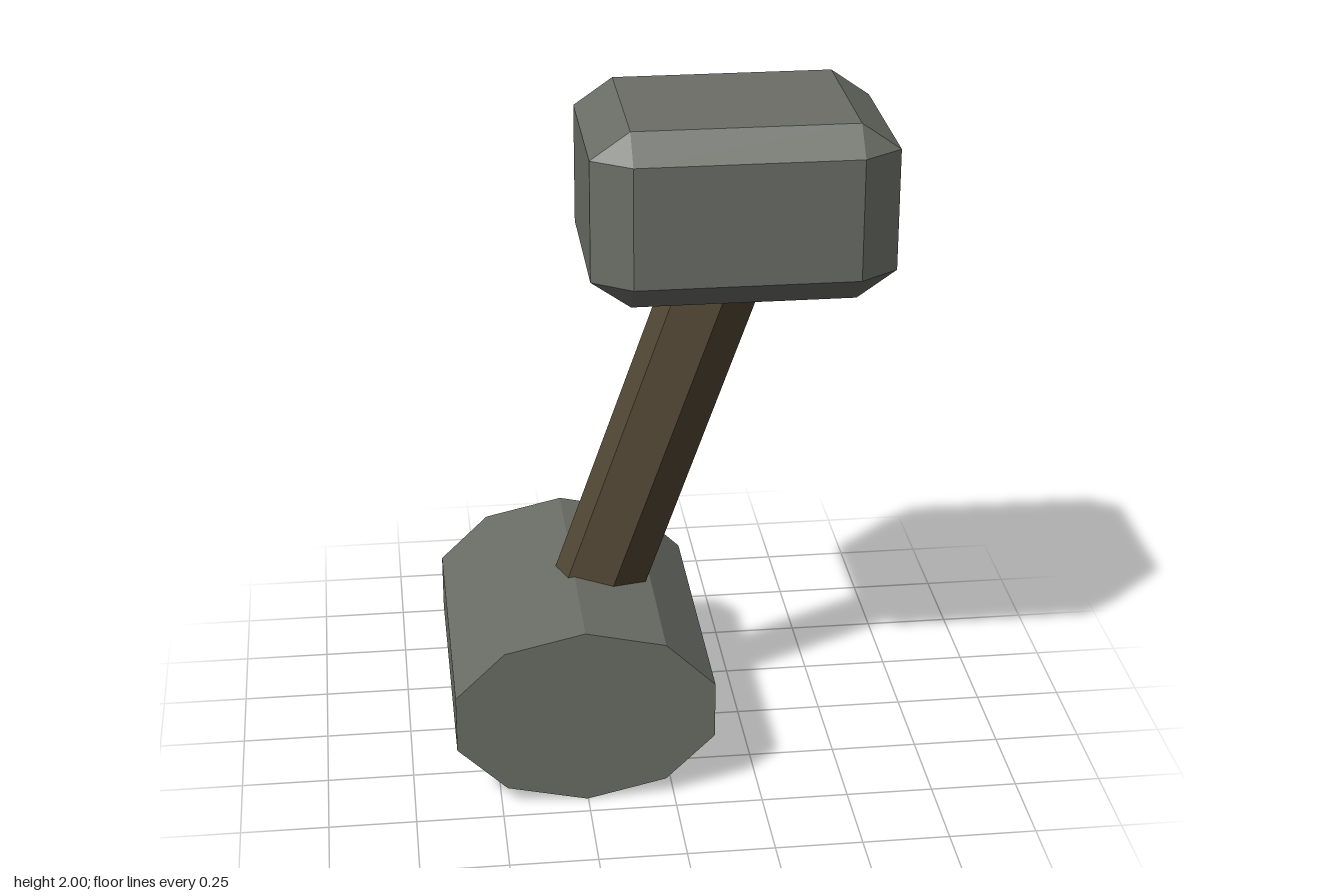
import * as THREE from 'three';
import { ConvexGeometry } from 'three/addons/geometries/ConvexGeometry.js';

const stone = new THREE.MeshStandardMaterial({ color: 0x6b6e66, flatShading: true });
stone.name = 'grey stone';
const wood = new THREE.MeshStandardMaterial({ color: 0x544936, flatShading: true });
wood.name = 'dark wood';

// Box with every edge cut back by its own amount on each axis
function chamferedBox(half, cut) {
  const points = [];
  for (const sx of [-1, 1]) for (const sy of [-1, 1]) for (const sz of [-1, 1]) {
    const s = [sx, sy, sz];
    for (let full = 0; full < 3; full++) {
      const p = s.map((sign, i) => sign * (half[i] - (i === full ? 0 : cut[i])));
      points.push(new THREE.Vector3(...p));
    }
  }
  return new ConvexGeometry(points);
}

function addPart(group, name, geometry, material, x, y, z) {
  const mesh = new THREE.Mesh(geometry, material);
  mesh.name = name;
  mesh.position.set(x, y, z);
  group.add(mesh);
}

export function createModel() {
  const group = new THREE.Group();
  group.name = 'stoneHammer';

  // Ten-sided oval stone lying along z
  const base = new THREE.CylinderGeometry(1, 1, 0.87, 10);
  base.rotateX(Math.PI / 2).scale(0.391, 0.273, 1);
  addPart(group, 'baseStone', base, stone, -0.253, 0.277, 0);

  // Six-sided oval shaft, sheared so that it leans to the left and forward
  const height = 1.45;
  const shaft = new THREE.CylinderGeometry(1, 1, height, 6, 1, false, THREE.MathUtils.degToRad(10.9));
  shaft.scale(0.1455, 1, 0.094);
  shaft.applyMatrix4(new THREE.Matrix4().set(
    1, 0.334, 0, 0,
    0, 1, 0, 0,
    0, 0.077, 1, 0,
    0, 0, 0, 1));
  addPart(group, 'handle', shaft, wood, -0.01, 1.0, 0.06);

  // Chamfered head block
  const head = chamferedBox([0.42, 0.25, 0.3125], [0.11, 0.077, 0.074]);
  addPart(group, 'headStone', head, stone, 0.2, 1.75, 0.103);

  return group;
}
